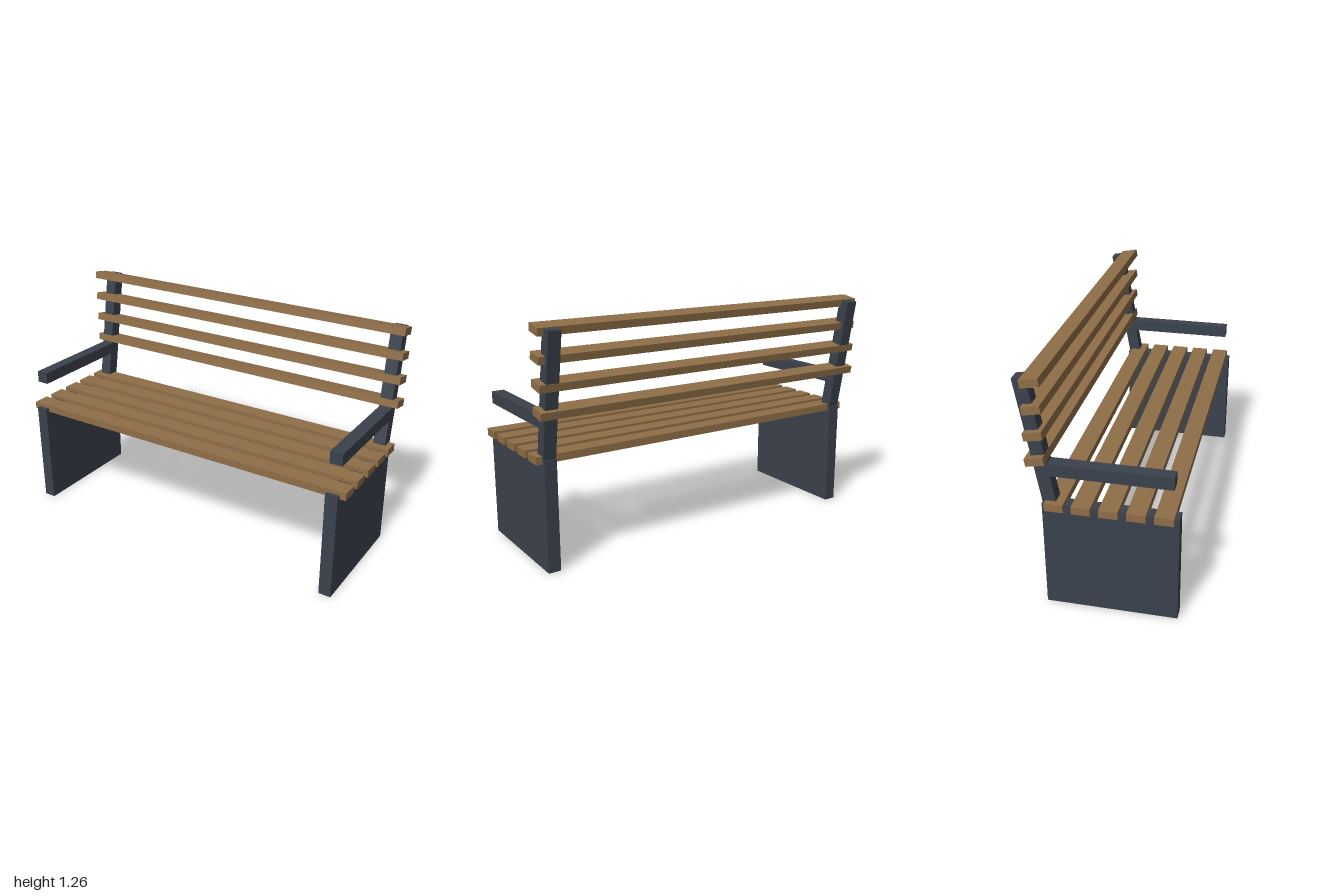
import * as THREE from 'three';

export function createModel() {
  const bench = new THREE.Group();
  bench.name = 'bench';
  const wood = new THREE.MeshStandardMaterial({ color: 0x8f6e47 });
  wood.name = 'brown wood';
  const metal = new THREE.MeshStandardMaterial({ color: 0x3b424d });
  metal.name = 'dark grey metal';

  const TILT = THREE.MathUtils.degToRad(-10); // backrest leans backwards
  const FRAME = 0.067; // thickness of the side frames

  function addBox(name, material, size, position, tilt = 0) {
    const mesh = new THREE.Mesh(new THREE.BoxGeometry(...size), material);
    mesh.name = name;
    mesh.position.set(...position);
    mesh.rotation.x = tilt;
    bench.add(mesh);
  }

  // Side frames: leg panel, leaning upright and armrest
  for (const [side, s] of [['left', 1], ['right', -1]]) {
    const x = s * 0.933;
    addBox(`${side}LegPanel`, metal, [FRAME, 0.587, 0.667], [x, 0.2935, 0.054]);
    addBox(`${side}BackUpright`, metal, [FRAME, 0.667, FRAME], [x, 0.908, -0.294], TILT);
    addBox(`${side}Armrest`, metal, [FRAME, 0.065, 0.63], [x, 0.775, 0.045]);
  }

  // Seat slats, front to back
  for (let i = 0; i < 5; i++) {
    addBox(`seatSlat${i + 1}`, wood, [2, 0.04, 0.093], [0, 0.587, 0.32 - i * 0.1333]);
  }

  // Backrest slats, bottom to top, square to the uprights
  for (let i = 0; i < 4; i++) {
    addBox(`backSlat${i + 1}`, wood, [2, 0.04, 0.093], [0, 0.829 + i * 0.1335, -0.292], TILT);
  }

  return bench;
}
